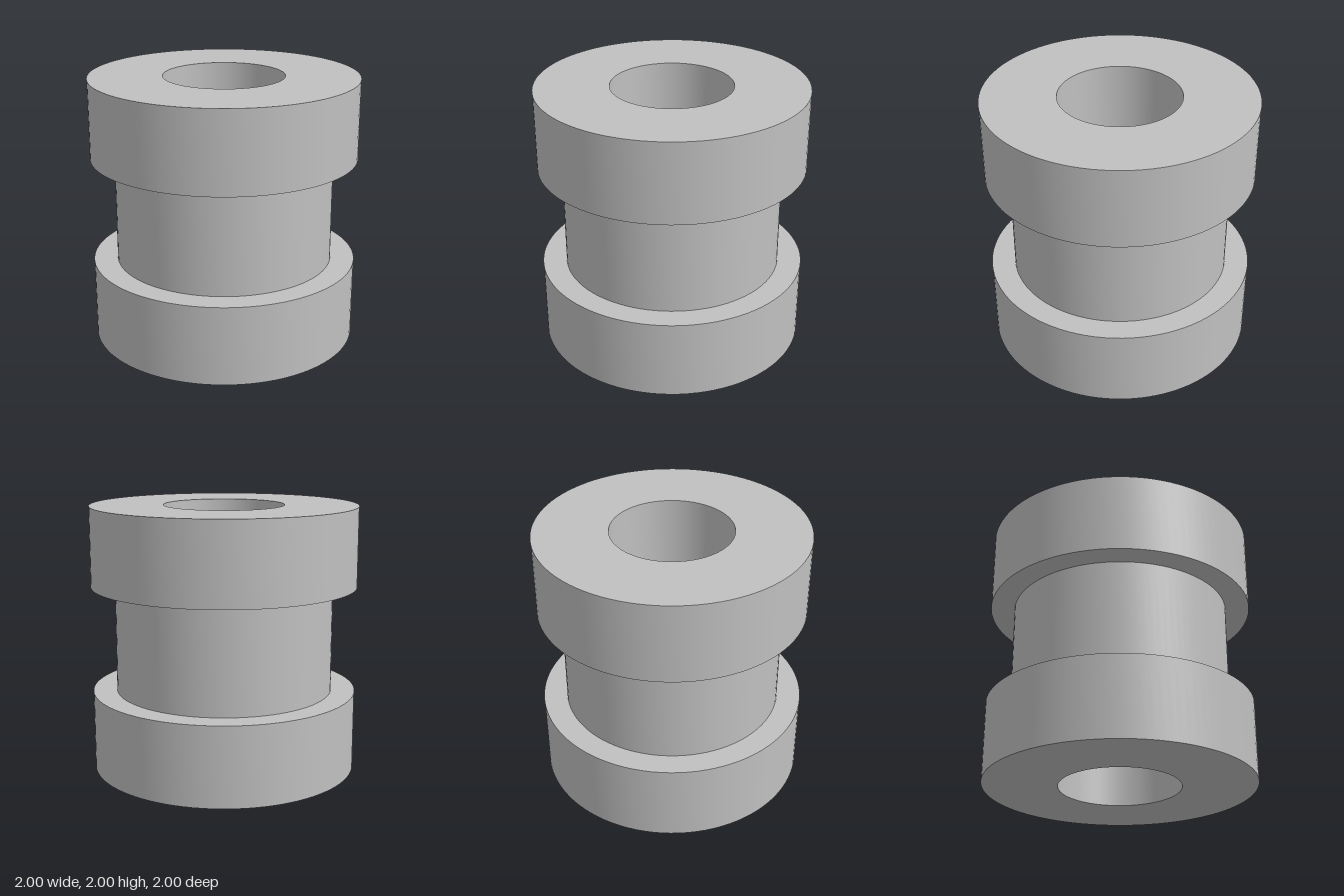
import * as THREE from 'three';
import { toCreasedNormals } from 'three/addons/utils/BufferGeometryUtils.js';

const OUTER = 1, NECK = 0.82, BORE = 0.45;
const HEIGHT = 2, FLANGE = 0.6;

export function createModel() {
  const group = new THREE.Group();
  group.name = 'flangedBushing';

  const metal = new THREE.MeshStandardMaterial({ color: 0xc0c0c0 });
  metal.name = 'grey metal';

  // Revolve a [radius, height] profile, keeping the rims sharp
  const turn = (name, profile) => {
    const points = profile.map(([r, y]) => new THREE.Vector2(r, y));
    const geometry = toCreasedNormals(new THREE.LatheGeometry(points, 96), Math.PI / 6);
    const mesh = new THREE.Mesh(geometry, metal);
    mesh.name = name;
    group.add(mesh);
  };

  const top = HEIGHT - FLANGE;

  // Wide collars at each end, with their exposed ring faces
  turn('lowerFlange', [[BORE, 0], [OUTER, 0], [OUTER, FLANGE], [NECK, FLANGE]]);
  turn('upperFlange', [[NECK, top], [OUTER, top], [OUTER, HEIGHT], [BORE, HEIGHT]]);

  // Narrower middle between the collars
  turn('neck', [[NECK, FLANGE], [NECK, top]]);

  // Through hole, running downwards so that its wall faces the axis
  turn('bore', [[BORE, HEIGHT], [BORE, 0]]);

  return group;
}
